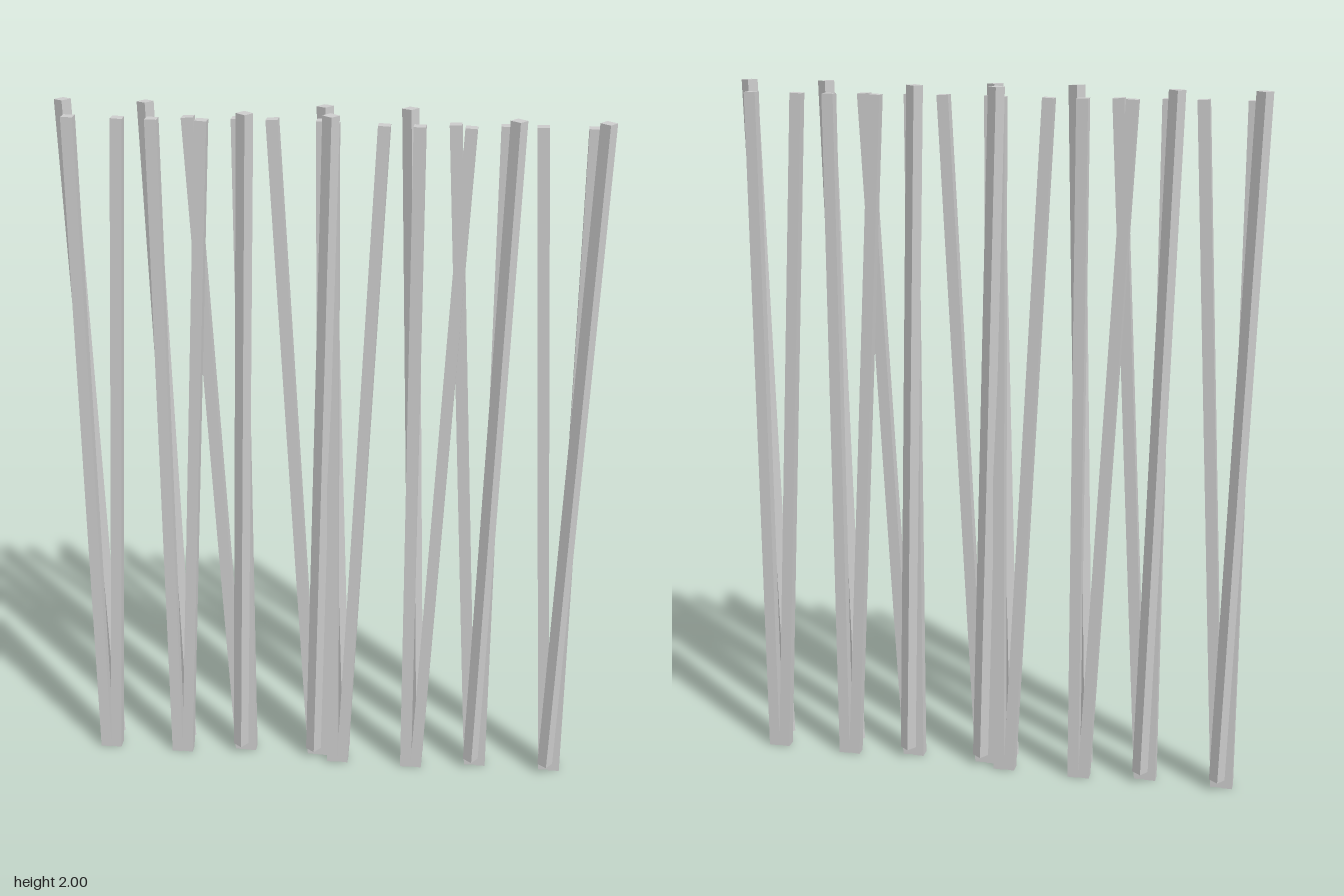
import * as THREE from 'three';

const SIDE = 0.032;
const UP = new THREE.Vector3(0, 1, 0);
const material = new THREE.MeshStandardMaterial({ color: 0xcccccc, flatShading: true });

// Square bar running from one end centre to the other, turned by yaw about its length
function bar(name, from, to, yaw = 0) {
  const a = new THREE.Vector3(...from);
  const b = new THREE.Vector3(...to);
  const along = b.clone().sub(a);
  const mesh = new THREE.Mesh(new THREE.BoxGeometry(SIDE, along.length(), SIDE), material);
  mesh.name = name;
  mesh.position.copy(a).add(b).multiplyScalar(0.5);
  mesh.quaternion.setFromUnitVectors(UP, along.normalize())
    .multiply(new THREE.Quaternion().setFromAxisAngle(UP, yaw));
  return mesh;
}

// Three bars fanning out from a shared foot
function barCluster() {
  const cluster = new THREE.Group();
  cluster.name = 'barCluster';
  cluster.add(
    bar('uprightBar', [0, 0, 0.016], [0, 1.97, 0.016]),
    bar('sidewaysLeaningBar', [0.031, 0.001, 0.016], [0.133, 1.97, 0.016]),
    bar('diagonalLeaningBar', [0.028, 0.031, -0.012], [-0.03, 1.999, -0.052], -0.62)
  );
  return cluster;
}

export function createModel() {
  const model = new THREE.Group();
  model.name = 'barRow';
  // Each cluster has a partner turned half way round the centre
  for (const x of [-0.69, -0.465, 0.016, 0.241]) {
    const near = barCluster();
    near.position.x = x;
    const turned = barCluster();
    turned.position.x = -x;
    turned.rotation.y = Math.PI;
    model.add(near, turned);
  }
  return model;
}
